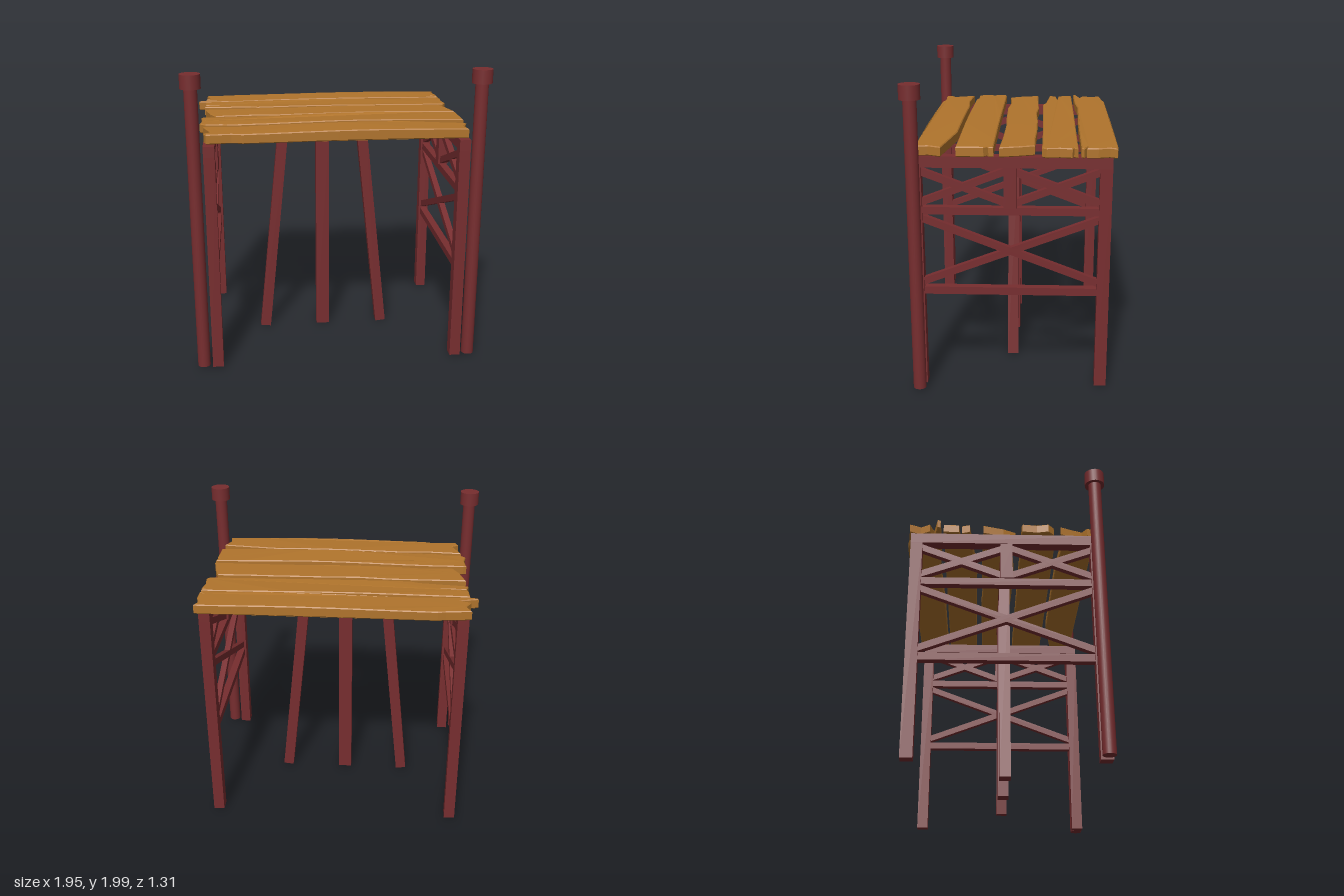
import * as THREE from 'three';

const red = new THREE.MeshStandardMaterial({ color: 0x772d2f });
red.name = 'red painted timber';
const wood = new THREE.MeshStandardMaterial({ color: 0xb0742c });
wood.name = 'plank wood';

function add(parent, geometry, material, name, x = 0, y = 0, z = 0) {
  const mesh = new THREE.Mesh(geometry, material);
  mesh.name = name;
  mesh.position.set(x, y, z);
  parent.add(mesh);
  return mesh;
}

// Box given by its limits
function beam(parent, name, x0, x1, y0, y1, z0, z1) {
  return add(parent, new THREE.BoxGeometry(x1 - x0, y1 - y0, z1 - z0), red, name,
    (x0 + x1) / 2, (y0 + y1) / 2, (z0 + z1) / 2);
}

// Diagonal between two points in the side plane, with ends cut upright
function brace(parent, name, z0, y0, z1, y1, height = 0.048) {
  const g = new THREE.BoxGeometry(0.04, height, z1 - z0);
  const p = g.attributes.position;
  const slope = (y1 - y0) / (z1 - z0);
  for (let i = 0; i < p.count; i++) p.setY(i, p.getY(i) + p.getZ(i) * slope);
  g.computeVertexNormals();
  return add(parent, g, red, name, 0, (y0 + y1) / 2, (z0 + z1) / 2);
}

// Trestle leg leaning sideways
function leg(parent, name, xTop, xBottom, width) {
  const top = 1.48, bottom = 0.01;
  const length = Math.hypot(xTop - xBottom, top - bottom);
  const m = add(parent, new THREE.BoxGeometry(width, length, 0.072), red, name,
    (xTop + xBottom) / 2, (top + bottom) / 2, 0);
  m.rotation.z = Math.atan2(xBottom - xTop, top - bottom);
}

// Plank cut from an [x, z] outline, bevelled and gently warped along its length
function plank(parent, name, outline, phase, amount, base) {
  const pts = [];
  outline.forEach(([x, z], i) => {
    const [nx, nz] = outline[(i + 1) % outline.length];
    const n = Math.max(1, Math.round(Math.abs(nx - x) / 0.2));
    for (let k = 0; k < n; k++) {
      pts.push(new THREE.Vector2(x + (nx - x) * k / n, -(z + (nz - z) * k / n)));
    }
  });
  const g = new THREE.ExtrudeGeometry(new THREE.Shape(pts), {
    depth: 0.051, bevelThickness: 0.006, bevelSize: 0.006, bevelOffset: -0.006, bevelSegments: 1,
  });
  g.rotateX(-Math.PI / 2);
  const p = g.attributes.position;
  for (let i = 0; i < p.count; i++) {
    const lift = amount * (0.5 + 0.5 * Math.cos((p.getX(i) - phase) * 3.6));
    const t = p.getY(i) > 0.025 ? 1 : 0.5;
    p.setY(i, p.getY(i) + lift * t);
  }
  g.computeVertexNormals();
  add(parent, g, wood, name, 0, base + 0.006, 0);
}

export function createModel() {
  const model = new THREE.Group();
  model.name = 'plankPlatform';

  for (const s of [-1, 1]) {
    const side = s > 0 ? 'left' : 'right';

    // Side frame: posts, top beam, rails and cross braces
    const frame = new THREE.Group();
    frame.name = side + 'Frame';
    frame.position.x = s * 0.813;
    model.add(frame);
    beam(frame, 'frontPost', -0.036, 0.036, 0.015, 1.48, 0.545, 0.622);
    beam(frame, 'backPost', -0.036, 0.036, 0.015, 1.48, -0.622, -0.545);
    beam(frame, 'topBeam', -0.036, 0.036, 1.48, 1.55, -0.622, 0.622);
    beam(frame, 'upperRail', -0.025, 0.025, 1.177, 1.226, -0.545, 0.545);
    beam(frame, 'lowerRail', -0.025, 0.025, 0.645, 0.695, -0.545, 0.545);
    beam(frame, 'shortPost', -0.034, 0.034, 1.226, 1.48, -0.04, 0.04);
    for (const [z0, z1] of [[0.04, 0.545], [-0.545, -0.04]]) {
      brace(frame, 'upperBrace', z0, 1.257, z1, 1.447);
      brace(frame, 'upperBrace', z0, 1.452, z1, 1.257);
    }
    brace(frame, 'lowerBrace', -0.545, 0.73, 0.545, 1.147);
    brace(frame, 'lowerBrace', -0.545, 1.147, 0.545, 0.73);

    // Round mooring pole with cap
    const pole = new THREE.Group();
    pole.name = side + 'Pole';
    pole.position.set(s * 0.908, 0, 0.587);
    model.add(pole);
    add(pole, new THREE.CylinderGeometry(0.042, 0.042, 1.895, 24), red, 'poleShaft', 0, 0.9675);
    add(pole, new THREE.CylinderGeometry(0.065, 0.065, 0.09, 24), red, 'poleCap', 0, 1.955);
  }

  // Central trestle
  const trestle = new THREE.Group();
  trestle.name = 'trestle';
  model.add(trestle);
  beam(trestle, 'trestleBeam', -0.57, 0.467, 1.485, 1.535, -0.036, 0.036);
  leg(trestle, 'middleLeg', -0.049, -0.049, 0.094);
  leg(trestle, 'rightLeg', -0.325, -0.475, 0.072);
  leg(trestle, 'leftLeg', 0.228, 0.384, 0.072);

  // Deck planks, back to front, with ragged ends
  const deck = new THREE.Group();
  deck.name = 'deck';
  model.add(deck);
  plank(deck, 'plankBack', [
    [-0.86, -0.63], [-0.7, -0.645], [-0.65, -0.655], [0.83, -0.65], [0.87, -0.645], [0.85, -0.6],
    [0.868, -0.53], [0.87, -0.46], [0.82, -0.47], [0.87, -0.445], [0.86, -0.428], [0.2, -0.43],
    [-0.4, -0.445], [-0.6, -0.43], [-0.91, -0.428], [-0.915, -0.448], [-0.79, -0.475],
    [-0.865, -0.5], [-0.83, -0.56],
  ], 0.2, 0.008, 1.55);
  plank(deck, 'plankSecond', [
    [-0.865, -0.41], [0.87, -0.41], [0.85, -0.385], [0.872, -0.375], [0.86, -0.3], [0.872, -0.22],
    [0.85, -0.192], [0.3, -0.195], [-0.49, -0.19], [-0.54, -0.21], [-0.865, -0.24], [-0.85, -0.29],
    [-0.68, -0.298], [-0.86, -0.31],
  ], -0.1, 0.008, 1.55);
  plank(deck, 'plankMiddle', [
    [-0.855, -0.15], [-0.35, -0.16], [-0.15, -0.147], [0.1, -0.158], [0.42, -0.157], [0.6, -0.15],
    [0.81, -0.15], [0.84, -0.06], [0.87, 0.066], [0.6, 0.055], [0.24, 0.05], [0, 0.06],
    [-0.36, 0.066], [-0.55, 0.05], [-0.78, 0.062], [-0.82, -0.02],
  ], 0.1, 0.006, 1.552);
  plank(deck, 'plankFourth', [
    [-0.875, 0.105], [-0.855, 0.1], [0.87, 0.1], [0.87, 0.13], [0.85, 0.14], [0.87, 0.16],
    [0.87, 0.328], [-0.2, 0.328], [-0.7, 0.326], [-0.73, 0.31], [-0.84, 0.312], [-0.88, 0.275],
    [-0.865, 0.2],
  ], 0.15, 0.014, 1.553);
  plank(deck, 'plankFront', [
    [-0.855, 0.355], [-0.64, 0.372], [-0.4, 0.355], [0.47, 0.355], [0.865, 0.42], [0.83, 0.5],
    [0.845, 0.577], [0, 0.58], [-0.6, 0.58], [-0.67, 0.56], [-0.83, 0.572], [-0.845, 0.53],
    [-0.8, 0.5], [-0.83, 0.42],
  ], 0.15, 0.012, 1.55);

  return model;
}
